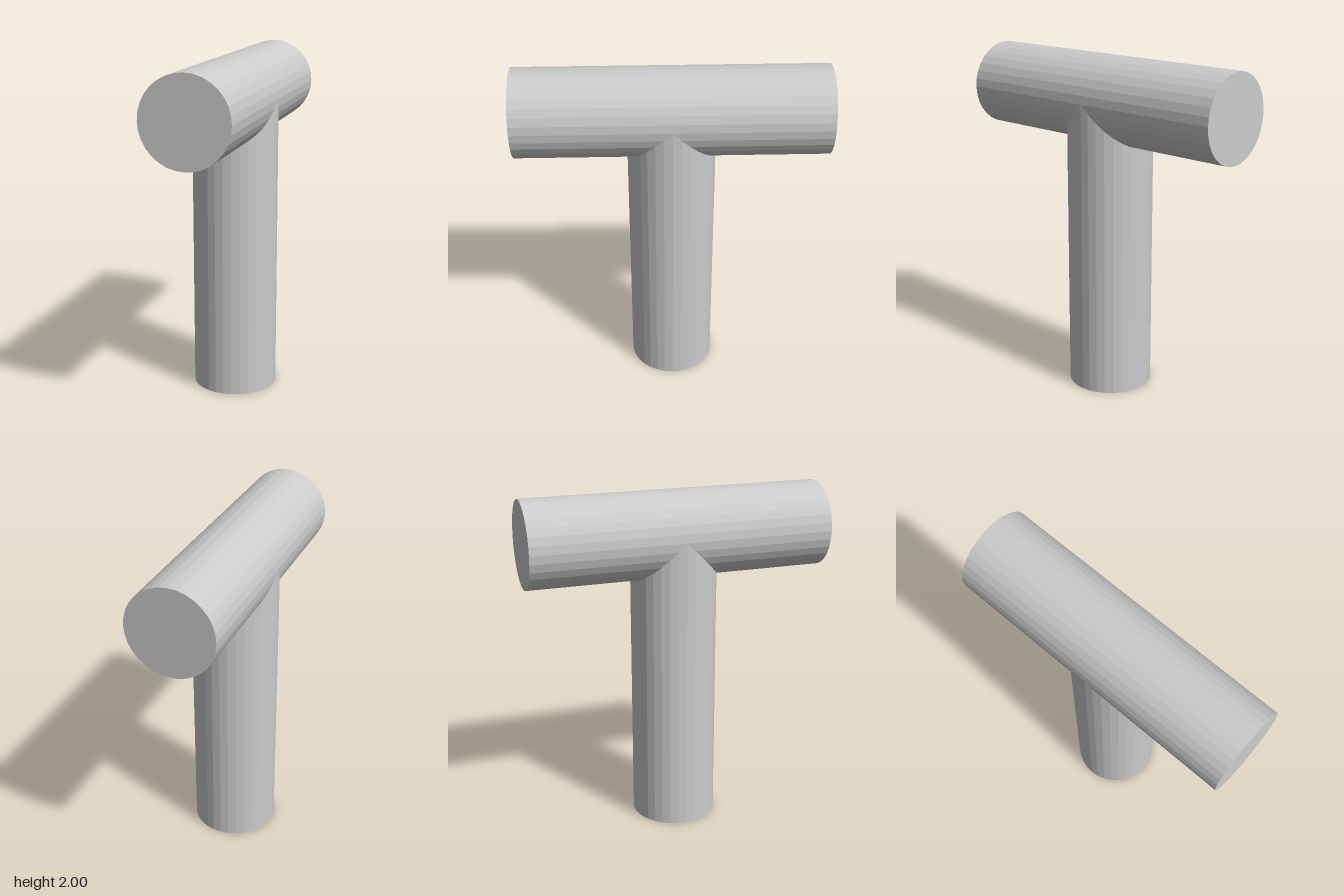
import * as THREE from 'three';

const RADIUS = 0.25;
const SIDES = 32;
const AXIS_Y = 1.75; // height of the crossbar's axis
const BAR_LENGTH = 1.75;

export function createModel() {
  const model = new THREE.Group();
  model.name = 'teePipe';
  const material = new THREE.MeshStandardMaterial({ color: 0xcccccc, flatShading: true });

  const add = (name, geometry) => {
    const mesh = new THREE.Mesh(geometry, material);
    mesh.name = name;
    model.add(mesh);
  };

  // Crossbar lying along z
  const bar = new THREE.CylinderGeometry(RADIUS, RADIUS, BAR_LENGTH, SIDES);
  bar.rotateX(Math.PI / 2).translate(0, AXIS_Y, 0);
  add('crossbar', bar);

  // Upright, its upper rim cut to a saddle that meets the crossbar
  const stem = new THREE.CylinderGeometry(RADIUS, RADIUS, AXIS_Y, SIDES, 1, true);
  stem.translate(0, AXIS_Y / 2, 0);
  const pos = stem.attributes.position;
  for (let i = 0; i < pos.count; i++) {
    if (pos.getY(i) > AXIS_Y / 2) pos.setY(i, AXIS_Y - Math.abs(pos.getZ(i)));
  }
  stem.computeVertexNormals();
  add('upright', stem);

  // Disc closing the foot of the upright
  add('uprightBase', new THREE.CircleGeometry(RADIUS, SIDES).rotateX(Math.PI / 2));

  return model;
}
